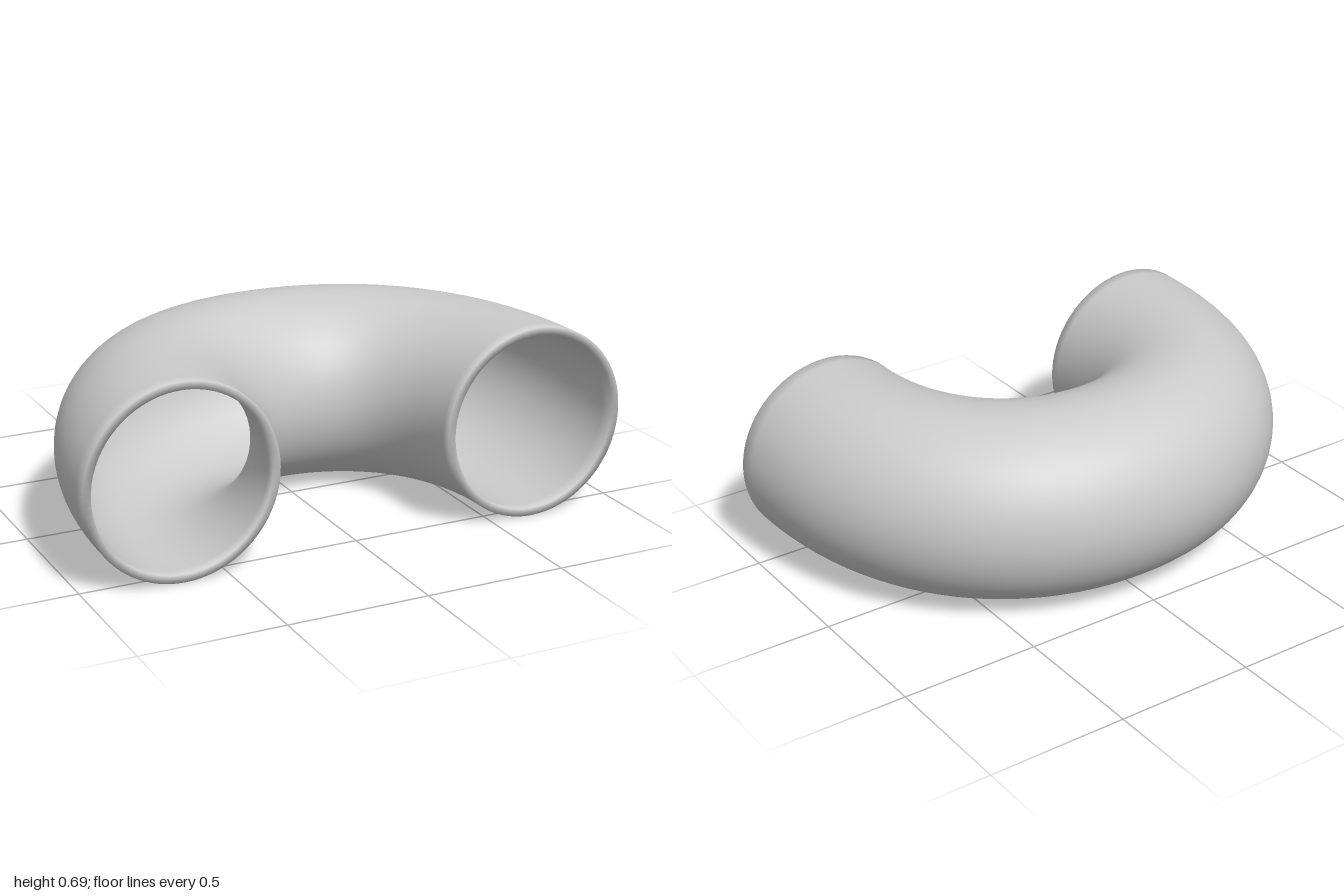
import * as THREE from 'three';

const OUTER = 0.343, INNER = 0.315, SIDES = 72, STEPS = 25;

// Centre line of one half of the bend, from the open end to the middle of the back
const half = new THREE.CubicBezierCurve3(
  new THREE.Vector3(0.657, OUTER, 0.565),
  new THREE.Vector3(0.657, OUTER, 0.045),
  new THREE.Vector3(0.37, OUTER, -0.224),
  new THREE.Vector3(0, OUTER, -0.224)
);

// Path stations: position and outward horizontal normal, mirrored for the other half
function pathStations() {
  const list = [];
  for (let i = 0; i <= STEPS; i++) {
    const t = half.getTangentAt(i / STEPS);
    list.push({ p: half.getPointAt(i / STEPS), n: new THREE.Vector3(-t.z, 0, t.x) });
  }
  const flip = new THREE.Vector3(-1, 1, 1);
  const mirrored = list.slice(0, -1).reverse().map(({ p, n }) => ({
    p: p.clone().multiply(flip), n: n.clone().multiply(flip),
  }));
  return [...list, ...mirrored];
}

// Outer wall along the path, then the bore back again; the ends join as rims
function pipeGeometry() {
  const path = pathStations();
  const rings = [
    ...path.map((s) => ({ ...s, r: OUTER })),
    ...path.slice().reverse().map((s) => ({ ...s, r: INNER })),
  ];
  const pos = [], index = [];
  rings.forEach(({ p, n, r }, i) => {
    const next = (i + 1) % rings.length;
    for (let j = 0; j < SIDES; j++) {
      const a = (j / SIDES) * Math.PI * 2, k = (j + 1) % SIDES;
      const c = r * Math.cos(a);
      pos.push(p.x + n.x * c, p.y + r * Math.sin(a), p.z + n.z * c);
      const A = i * SIDES + j, B = next * SIDES + j;
      const C = next * SIDES + k, D = i * SIDES + k;
      index.push(A, B, C, A, C, D);
    }
  });
  const geo = new THREE.BufferGeometry();
  geo.setAttribute('position', new THREE.Float32BufferAttribute(pos, 3));
  geo.setIndex(index);
  geo.computeVertexNormals();
  return geo;
}

export function createModel() {
  const group = new THREE.Group();
  group.name = 'returnBend';
  const pipe = new THREE.Mesh(pipeGeometry(), new THREE.MeshStandardMaterial({ color: 0xcccccc }));
  pipe.name = 'curvedPipe';
  group.add(pipe);
  return group;
}
